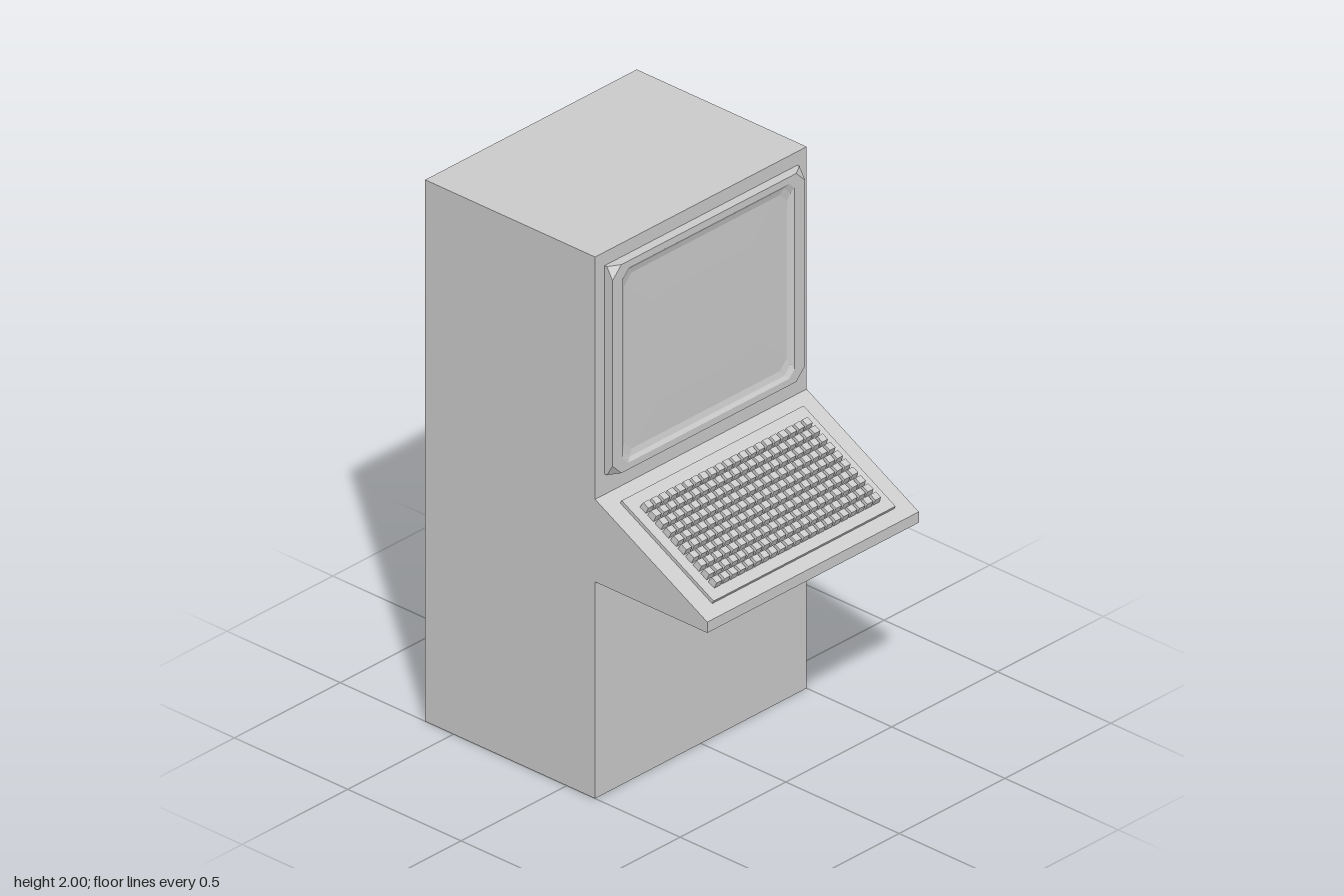
import * as THREE from 'three';
import { mergeGeometries } from 'three/addons/utils/BufferGeometryUtils.js';

const grey = new THREE.MeshStandardMaterial({ color: 0xcccccc, flatShading: true });

function addMesh(parent, name, geometry) {
  const mesh = new THREE.Mesh(geometry, grey);
  mesh.name = name;
  parent.add(mesh);
  return mesh;
}

// Rectangle in the yz plane with cut corners: counter-clockwise seen from +x
function cutRect(x, halfY, halfZ, cut) {
  const a = halfY - cut, b = halfZ - cut;
  return [[a, halfZ], [halfY, b], [halfY, -b], [a, -halfZ],
    [-a, -halfZ], [-halfY, -b], [-halfY, b], [-a, halfZ]]
    .map(([y, z]) => [x, y, z]).reverse();
}

// Skin successive loops with quads
function loft(loops) {
  const n = loops[0].length, index = [];
  for (let i = 0; i < loops.length - 1; i++) {
    for (let j = 0; j < n; j++) {
      const a = i * n + j, b = i * n + (j + 1) % n;
      index.push(a, b, b + n, a, b + n, a + n);
    }
  }
  const geometry = new THREE.BufferGeometry();
  geometry.setAttribute('position', new THREE.Float32BufferAttribute(loops.flat(2), 3));
  geometry.setIndex(index);
  // Drop the shared points so every facet has its own normal
  const flat = geometry.toNonIndexed();
  flat.computeVertexNormals();
  return flat;
}

// Keycap: a box narrowed towards its top
function keycap(w, h, d) {
  const geometry = new THREE.BoxGeometry(w, h, d);
  const p = geometry.attributes.position;
  for (let i = 0; i < p.count; i++) {
    if (p.getY(i) > 0) p.setXYZ(i, p.getX(i) * 0.86, p.getY(i), p.getZ(i) * 0.86);
  }
  geometry.computeVertexNormals();
  return geometry;
}

export function createModel() {
  const model = new THREE.Group();
  model.name = 'terminalCabinet';

  // Cabinet with the sloping desk, one side profile drawn across the width
  const profile = new THREE.Shape([
    [-0.625, 0], [0.125, 0], [0.125, 0.8], [0.62, 0.8],
    [0.62, 0.84], [0.125, 1.105], [0.125, 2], [-0.625, 2],
  ].map(([x, y]) => new THREE.Vector2(x, y)));
  const body = new THREE.ExtrudeGeometry(profile, { depth: 1, bevelEnabled: false });
  body.translate(0, 0, -0.5);
  addMesh(model, 'cabinet', body);

  // Monitor: shallow case with clipped front corners
  const monitor = new THREE.Group();
  monitor.name = 'monitor';
  monitor.position.set(0.125, 1.565, 0);
  model.add(monitor);
  addMesh(monitor, 'monitorCase', loft([
    cutRect(0, 0.385, 0.455, 0),
    cutRect(0.01, 0.385, 0.455, 0),
    cutRect(0.035, 0.385, 0.455, 0.042),
    cutRect(0.035, 0.36, 0.405, 0.025),
  ]));
  // Dished screen with a gently bulging centre
  addMesh(monitor, 'screen', loft([
    cutRect(0.035, 0.36, 0.405, 0.025),
    cutRect(0.026, 0.347, 0.396, 0.03),
    cutRect(0.021, 0.325, 0.385, 0.035),
    cutRect(0.023, 0.2, 0.24, 0.03),
    cutRect(0.024, 0, 0, 0),
  ]));

  // Keyboard, laid along the slope of the desk
  const keyboard = new THREE.Group();
  keyboard.name = 'keyboard';
  keyboard.position.set(0.125, 1.105, 0);
  keyboard.rotation.z = -Math.atan2(0.265, 0.495);
  model.add(keyboard);

  const plate = addMesh(keyboard, 'keyboardPlate', new THREE.BoxGeometry(0.46, 0.014, 0.86));
  plate.position.set(0.282, 0.006, 0);

  const keys = [];
  for (let row = 0; row < 10; row++) {
    for (let col = 0; col < 21; col++) {
      const key = keycap(0.03, 0.025, 0.031);
      key.translate(0.116 + row * 0.038, 0.0245, (col - 10) * 0.0375);
      keys.push(key);
    }
  }
  addMesh(keyboard, 'keys', mergeGeometries(keys));

  return model;
}
